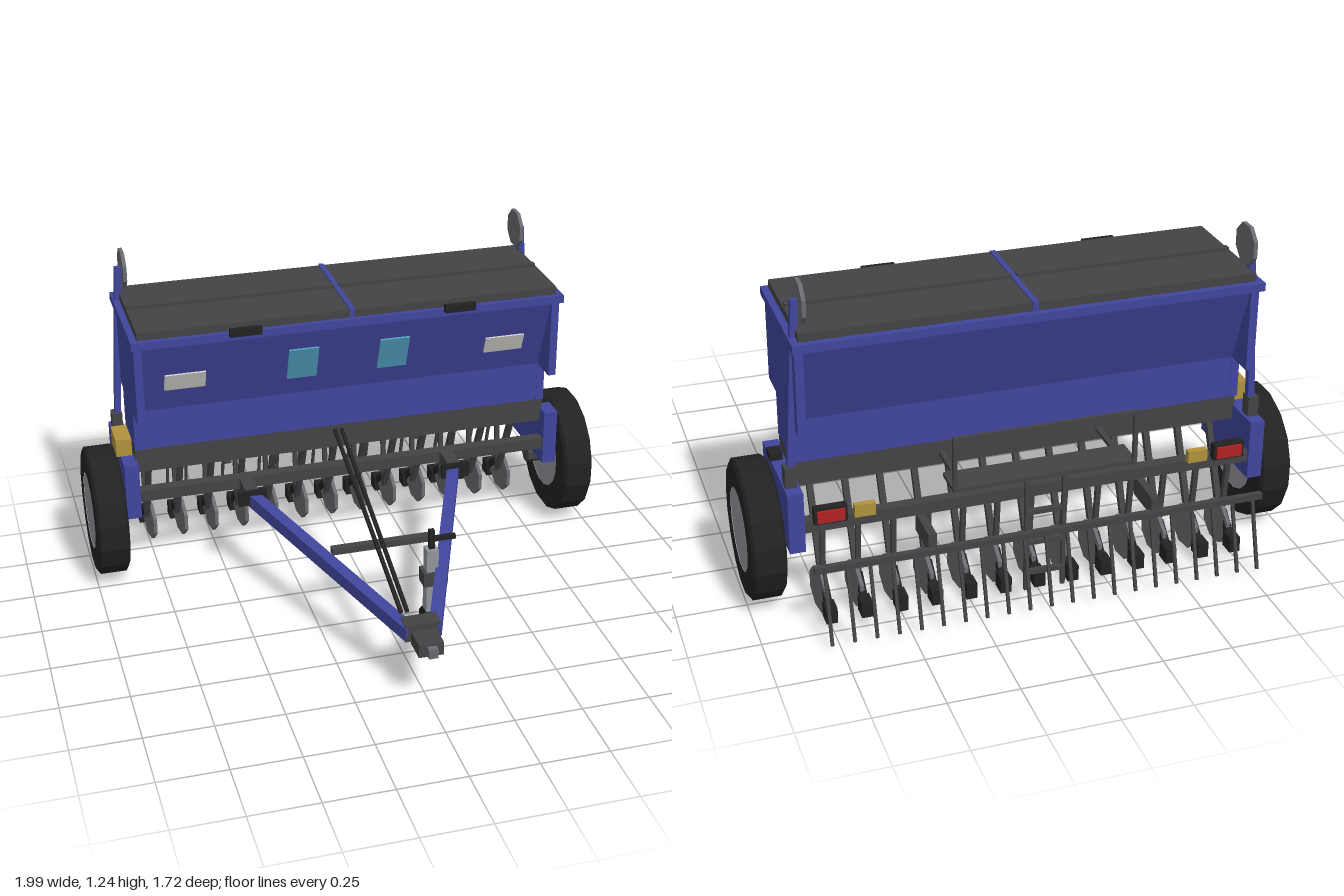
import * as THREE from 'three';

const mat = (name, color) => {
  const m = new THREE.MeshStandardMaterial({ color });
  m.name = name;
  return m;
};

export function createModel() {
  const blue = mat('blue paint', 0x41459c);
  const dark = mat('dark grey steel', 0x434346);
  const black = mat('black rubber', 0x222223);
  const silver = mat('light metal', 0x92969b);
  const steel = mat('disc steel', 0x6a6b70);
  const white = mat('white label', 0xc8c8c4);
  const cyan = mat('sight glass', 0x509fc0);
  const amber = mat('amber', 0xb0923c);
  const red = mat('red lamp', 0xb02222);

  const model = new THREE.Group();
  model.name = 'seedDrill';

  const add = (name, geo, material, x = 0, y = 0, z = 0) => {
    const m = new THREE.Mesh(geo, material);
    m.name = name;
    m.position.set(x, y, z);
    model.add(m);
    return m;
  };
  // Box given by its limits on each axis
  const box = (name, material, x0, x1, y0, y1, z0, z1) =>
    add(name, new THREE.BoxGeometry(Math.abs(x1 - x0), y1 - y0, Math.abs(z1 - z0)), material,
      (x0 + x1) / 2, (y0 + y1) / 2, (z0 + z1) / 2);
  // Rectangular bar between two points
  const beam = (name, material, a, b, w, h = w) => {
    const p = new THREE.Vector3(...a), q = new THREE.Vector3(...b);
    const m = add(name, new THREE.BoxGeometry(w, h, p.distanceTo(q)), material);
    m.position.copy(p).lerp(q, 0.5);
    m.lookAt(q);
    return m;
  };
  const faceted = (geo) => {
    const g = geo.toNonIndexed();
    g.computeVertexNormals();
    return g;
  };
  // Faceted disc with its axis along x and flats at top and bottom
  const disc = (name, material, r, w, sides, x, y, z) => {
    const g = new THREE.CylinderGeometry(r, r, w, sides);
    g.rotateY(Math.PI / sides).rotateZ(Math.PI / 2);
    return add(name, faceted(g), material, x, y, z);
  };
  // Side profile of [z, y] points extruded along x
  const profile = (name, material, pts, x0, x1) => {
    const shape = new THREE.Shape(pts.map(([z, y]) => new THREE.Vector2(-z, y)));
    const g = new THREE.ExtrudeGeometry(shape, { depth: x1 - x0, bevelEnabled: false });
    return add(name, g.rotateY(Math.PI / 2), material, x0);
  };

  // Hopper: sloping walls between stepped end plates
  profile('hopperBody', blue, [[-0.18, 1.03], [-0.30, 0.71], [-0.30, 0.55], [-0.525, 0.55],
    [-0.525, 0.71], [-0.64, 1.03]], -0.79, 0.79);
  const endPts = [[-0.18, 1.03], [-0.18, 0.71], [-0.298, 0.71], [-0.298, 0.55], [-0.527, 0.55],
    [-0.527, 0.71], [-0.64, 0.71], [-0.64, 1.03]];
  for (const x0 of [-0.82, 0.79]) profile('hopperEndPlate', blue, endPts, x0, x0 + 0.03);
  box('hopperRim', blue, -0.83, 0.83, 1.02, 1.05, -0.665, -0.16);
  box('lidDivider', blue, -0.01, 0.01, 1.05, 1.085, -0.645, -0.18);
  box('meterBox', dark, -0.82, 0.82, 0.45, 0.55, -0.51, -0.31);

  for (const s of [-1, 1]) {
    // Lids, hinge strips and latches
    box('hopperLid', dark, s * 0.01, s * 0.805, 1.05, 1.08, -0.64, -0.18);
    box('lidRib', dark, s * 0.01, s * 0.8, 1.08, 1.092, -0.425, -0.4);
    box('lidLatch', black, s * 0.35, s * 0.47, 1.04, 1.07, -0.16, -0.14);

    // Thin plates lying on the sloping front wall
    const plate = (name, m, x, y, w, h) => {
      const p = add(name, new THREE.BoxGeometry(w, h, 0.008), m, s * x, y, -0.18 - (1.03 - y) * 0.375 + 0.003);
      p.rotation.x = Math.atan(0.375);
    };
    plate('sightGlass', cyan, 0.177, 0.86, 0.115, 0.148);
    plate('frontLabel', white, 0.625, 0.84, 0.155, 0.075);

    // End frame, axle stub and wheel
    box('sideFrame', blue, s * 0.815, s * 0.87, 0.28, 0.505, -0.66, -0.26);
    disc('axle', dark, 0.04, 0.1, 8, s * 0.85, 0.255, -0.41);
    const tyrePts = [[0.15, -0.06], [0.235, -0.06], [0.25, -0.05], [0.25, 0.05], [0.235, 0.06], [0.15, 0.06]]
      .map((p) => new THREE.Vector2(...p));
    const tyre = new THREE.LatheGeometry(tyrePts, 16);
    tyre.rotateY(Math.PI / 16).rotateZ(Math.PI / 2);
    add('tyre', faceted(tyre), black, s * 0.937, 0.257, -0.41);
    disc('wheelHub', silver, 0.152, 0.116, 16, s * 0.937, 0.257, -0.41);

    // Row marker with its folded arm
    box('markerBracket', dark, s * 0.825, s * 0.865, 0.5, 0.58, -0.612, -0.565);
    beam('markerArm', blue, [s * 0.842, 0.55, -0.588], [s * 0.803, 1.18, -0.588], 0.025);
    disc('markerDisc', steel, 0.076, 0.014, 8, s * 0.785, 1.173, -0.59);

    // Rear lamps
    box('lampHousing', black, s * 0.67, s * 0.785, 0.385, 0.445, -0.675, -0.645);
    box('redLamp', red, s * 0.68, s * 0.775, 0.393, 0.437, -0.683, -0.675);
    box('amberLamp', amber, s * 0.572, s * 0.645, 0.39, 0.435, -0.675, -0.65);

    // Converging drawbar
    beam('drawbar', blue, [s * 0.405, 0.355, -0.17], [s * 0.045, 0.24, 0.73], 0.045, 0.05);
    box('drawbarBracket', black, s * 0.35, s * 0.46, 0.335, 0.395, -0.155, -0.14);
    beam('drawbarMount', dark, [s * 0.405, 0.365, -0.15], [s * 0.405, 0.365, -0.28], 0.05);

    // Harrow arms, platform posts and ladder rails
    box('harrowArm', dark, s * 0.39, s * 0.42, 0.27, 0.34, -0.78, -0.62);
    box('guardPost', dark, s * 0.315, s * 0.33, 0.49, 0.69, -0.777, -0.763);
    box('ladderRail', dark, s * 0.06, s * 0.075, 0.05, 0.49, -0.777, -0.763);
    box('platformSupport', dark, s * 0.28, s * 0.3, 0.485, 0.5, -0.68, -0.5);
  }
  box('toolBox', amber, -0.885, -0.825, 0.505, 0.575, -0.475, -0.35);
  box('driveCap', black, 0.83, 0.875, 0.505, 0.53, -0.41, -0.35);

  // Frame bars
  box('frontFrameBar', dark, -0.82, 0.82, 0.345, 0.39, -0.31, -0.265);
  box('rearFrameBar', dark, -0.82, 0.82, 0.345, 0.39, -0.65, -0.61);

  // Rear platform, guard rail and ladder
  box('platform', dark, -0.33, 0.33, 0.485, 0.5, -0.775, -0.655);
  box('guardRail', dark, -0.33, 0.33, 0.677, 0.692, -0.777, -0.763);
  for (const y of [0.12, 0.24, 0.36]) box('ladderRung', dark, -0.07, 0.07, y - 0.008, y + 0.008, -0.78, -0.76);

  // Seed openers
  for (let i = -6; i <= 6; i++) {
    const x = i * 0.125;
    beam('seedTube', dark, [x, 0.46, -0.43], [x, 0.1, -0.59], 0.022);
    beam('openerArm', dark, [x, 0.36, -0.63], [x, 0.08, -0.6], 0.018);
    const d = disc('openerDisc', steel, 0.084, 0.014, 8, x + 0.012, 0.082, -0.595);
    d.rotation.y = 0.12;
    beam('pressArm', black, [x, 0.13, -0.61], [x, 0.05, -0.7], 0.025);
    box('pressWheel', black, x - 0.02, x + 0.02, 0.022, 0.08, -0.73, -0.67);
  }

  // Harrow
  box('harrowBar', dark, -0.815, 0.815, 0.265, 0.288, -0.79, -0.768);
  for (let i = -10; i <= 10; i++) {
    const x = i * 0.078;
    beam('harrowTine', dark, [x, 0.275, -0.778], [x, 0.02, -0.855], 0.011);
  }

  // Hitch
  box('hitchBlock', dark, -0.065, 0.065, 0.21, 0.275, 0.67, 0.735);
  box('hitchTongue', dark, -0.045, 0.045, 0.203, 0.252, 0.735, 0.83);
  box('hitchPin', steel, -0.017, 0.017, 0.21, 0.245, 0.83, 0.857);
  box('drawbarStep', dark, -0.195, 0.195, 0.3, 0.325, 0.215, 0.245);

  // Hydraulic hoses
  beam('hose', black, [-0.015, 0.535, -0.29], [-0.04, 0.295, 0.67], 0.013);
  beam('hose', black, [-0.042, 0.535, -0.29], [-0.062, 0.295, 0.67], 0.013);

  // Parking jack
  box('jackTube', silver, 0.108, 0.152, 0.11, 0.375, 0.388, 0.432);
  box('jackCollar', dark, 0.095, 0.185, 0.23, 0.285, 0.378, 0.442);
  box('jackPost', black, 0.12, 0.14, 0.375, 0.45, 0.4, 0.42);
  box('jackCrank', black, 0.12, 0.22, 0.405, 0.42, 0.4, 0.42);
  disc('jackWheel', black, 0.062, 0.05, 8, 0.13, 0.06, 0.41);

  return model;
}
